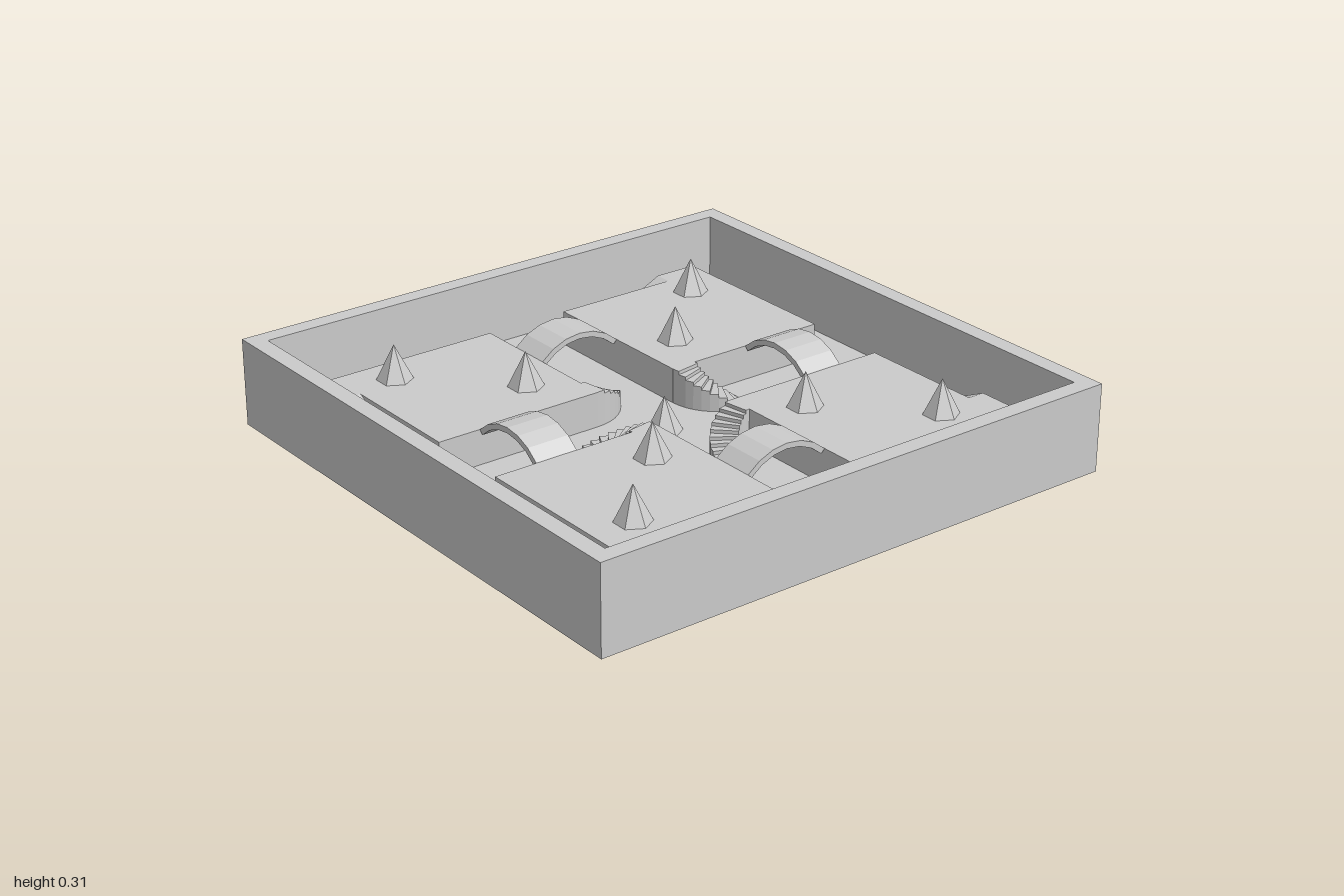
import * as THREE from 'three';

const FLOOR = 0.0625, DECK = 0.1875, TOP = 0.3125;
const INNER = 0.156, OUTER = 0.781;

const material = new THREE.MeshStandardMaterial({ color: 0xcccccc, flatShading: true });

function add(parent, name, geometry, x = 0, y = 0, z = 0) {
  const mesh = new THREE.Mesh(geometry, material);
  mesh.name = name;
  mesh.position.set(x, y, z);
  parent.add(mesh);
  return mesh;
}

function shapeOf(points) {
  return new THREE.Shape(points.map(([x, y]) => new THREE.Vector2(x, y)));
}

function extrude(shape, depth) {
  return new THREE.ExtrudeGeometry(shape, { depth, bevelEnabled: false });
}

function square(r) {
  return [[-r, -r], [r, -r], [r, r], [-r, r]];
}

// Points of a circular arc about (cx, cy)
function arc(r, from, to, steps, cx = 0, cy = 0) {
  return Array.from({ length: steps + 1 }, (_, i) => {
    const a = from + ((to - from) * i) / steps;
    return [cx + r * Math.cos(a), cy + r * Math.sin(a)];
  });
}

// Raised deck with a landing and a ramp running down its outer side
function addPlatform(parent) {
  const size = OUTER - INNER, mid = -(OUTER + INNER) / 2;
  add(parent, 'platform', new THREE.BoxGeometry(size, DECK - FLOOR, size), mid, (DECK + FLOOR) / 2, mid);

  const profile = shapeOf([[-OUTER, FLOOR], [-0.362, FLOOR], [-0.622, DECK], [-OUTER, DECK]]);
  add(parent, 'ramp', extrude(profile, 0.0625).rotateY(-Math.PI / 2), -OUTER);
}

// Shallow arched bridge between two decks
function addBridge(parent) {
  const radius = INNER / Math.SQRT1_2, thickness = 0.02;
  const cy = DECK - INNER;
  const a = Math.PI / 4, b = (3 * Math.PI) / 4;
  const profile = shapeOf([
    ...arc(radius, a, b, 6, 0, cy),
    ...arc(radius - thickness, b, a, 6, 0, cy),
  ]);
  add(parent, 'archedBridge', extrude(profile, 0.156), 0, 0, -0.625);
}

// Quarter-turn stair climbing from the floor to the deck edge
function addStair(parent) {
  const stair = new THREE.Group();
  stair.name = 'curvedStair';
  stair.position.set(-INNER, 0, -0.344);
  const steps = 10, turn = Math.PI / 2 / steps, rise = (DECK - FLOOR) / steps;
  for (let i = 0; i < steps; i++) {
    const from = i * turn, to = from + turn, height = (i + 1) * rise;
    const sector = shapeOf([...arc(0.1875, from, to, 1), ...arc(0.094, to, from, 1)]);
    add(stair, 'step', extrude(sector, height).rotateX(Math.PI / 2), 0, FLOOR + height, 0);
  }
  parent.add(stair);
}

export function createModel() {
  const model = new THREE.Group();
  model.name = 'arena';

  // Floor slab and surrounding wall
  add(model, 'floor', new THREE.BoxGeometry(2, FLOOR, 2), 0, FLOOR / 2, 0);
  const rim = shapeOf(square(1));
  rim.holes.push(new THREE.Path(square(0.9375).reverse().map(([x, y]) => new THREE.Vector2(x, y))));
  add(model, 'outerWall', extrude(rim, TOP - FLOOR).rotateX(Math.PI / 2), 0, TOP, 0);

  // Four identical quarters turned about the centre
  for (let i = 0; i < 4; i++) {
    const quarter = new THREE.Group();
    quarter.name = 'quarter';
    quarter.rotation.y = (-i * Math.PI) / 2;
    addPlatform(quarter);
    addBridge(quarter);
    addStair(quarter);
    model.add(quarter);
  }

  // Six-sided cone markers: one in the centre, two on each deck
  const cone = new THREE.ConeGeometry(0.0625, 0.125, 6).rotateY(Math.PI / 6);
  add(model, 'centreCone', cone, 0, FLOOR + 0.0625, 0);
  for (const sx of [-1, 1]) {
    for (const sz of [-1, 1]) {
      add(model, 'outerCone', cone, sx * 0.656, DECK + 0.0625, sz * 0.625);
      add(model, 'innerCone', cone, sx * 0.344, DECK + 0.0625, sz * 0.3125);
    }
  }
  return model;
}
